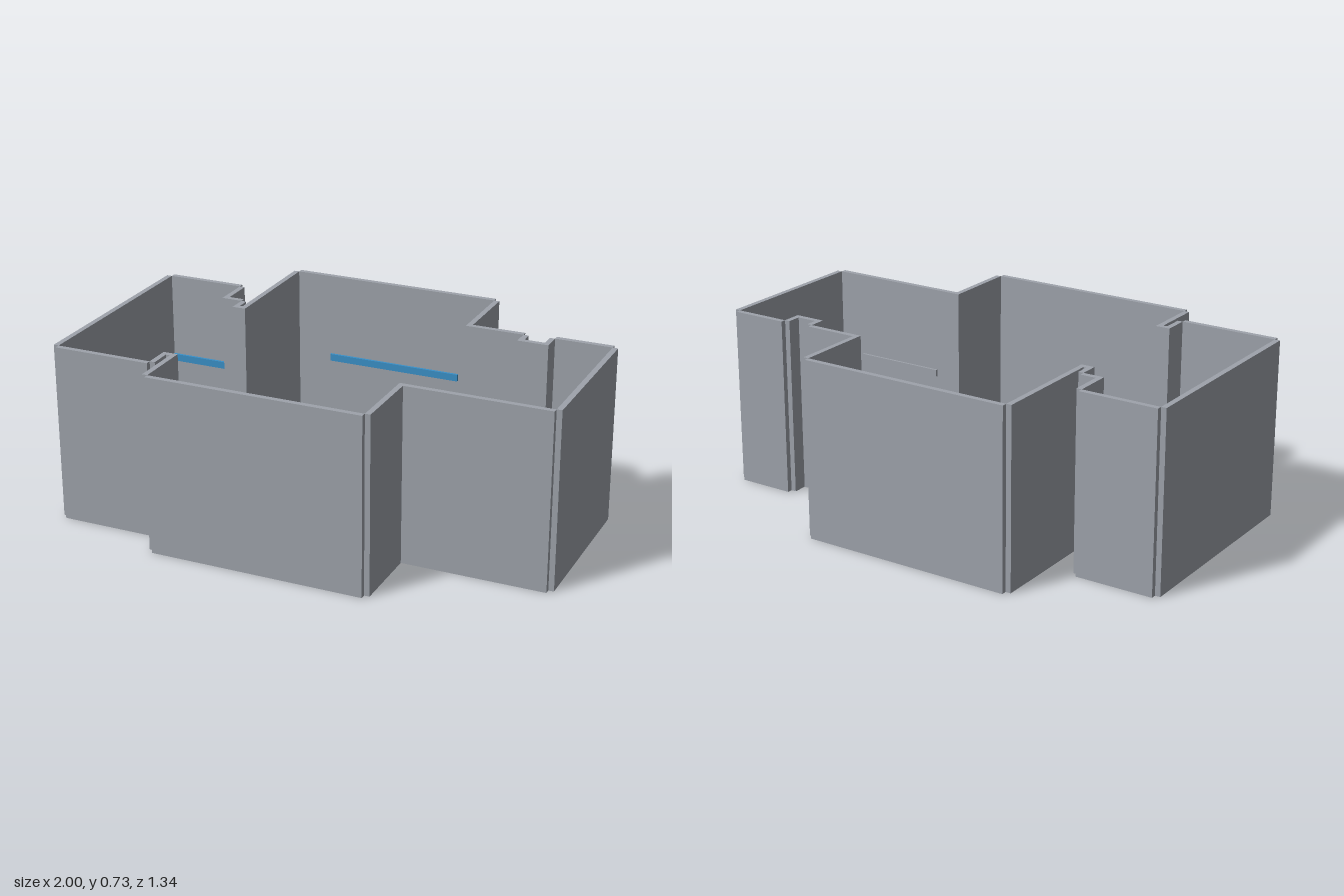
import * as THREE from 'three';

const HEIGHT = 0.73;
const THICK = 0.022;

// Inner room outline as [x, z], clockwise seen from above
const OUTLINE = [
  [-0.977, -0.376], [-0.653, -0.376], [-0.653, -0.22], [-0.566, -0.22],
  [-0.566, -0.142], [-0.51, -0.142], [-0.51, -0.651], [0.376, -0.651],
  [0.376, -0.328], [0.617, -0.328], [0.617, -0.258], [0.744, -0.258],
  [0.744, -0.338], [0.977, -0.338], [0.977, 0.33], [0.37, 0.33],
  [0.37, 0.648], [-0.514, 0.648], [-0.514, 0.414], [-0.575, 0.414],
  [-0.575, 0.522], [-0.977, 0.522],
];

export function createModel() {
  const model = new THREE.Group();
  const wallGrey = new THREE.MeshStandardMaterial({ color: 0x9ea3ab });
  wallGrey.name = 'wall grey';
  const floorGrey = new THREE.MeshStandardMaterial({ color: 0x70767d });
  floorGrey.name = 'floor grey';
  const blue = new THREE.MeshStandardMaterial({ color: 0x3a90c8 });
  blue.name = 'ledge blue';

  // Box given by its minimum and maximum corners
  const addBox = (name, material, x0, x1, y0, y1, z0, z1) => {
    const mesh = new THREE.Mesh(new THREE.BoxGeometry(x1 - x0, y1 - y0, z1 - z0), material);
    mesh.position.set((x0 + x1) / 2, (y0 + y1) / 2, (z0 + z1) / 2);
    mesh.name = name;
    model.add(mesh);
  };

  // Thin floor slab filling the outline
  const shape = new THREE.Shape(OUTLINE.map(([x, z]) => new THREE.Vector2(x, -z)));
  const slab = new THREE.ExtrudeGeometry(shape, { depth: 0.004, bevelEnabled: false });
  slab.rotateX(-Math.PI / 2);
  const floor = new THREE.Mesh(slab, floorGrey);
  floor.name = 'floor';
  model.add(floor);

  // One wall on the outer side of each edge, leaving the outer corners notched
  OUTLINE.forEach(([ax, az], i) => {
    const [bx, bz] = OUTLINE[(i + 1) % OUTLINE.length];
    const nx = Math.sign(bz - az) * THICK;
    const nz = -Math.sign(bx - ax) * THICK;
    addBox(`wall${i + 1}`, wallGrey,
      Math.min(ax, bx, ax + nx), Math.max(ax, bx, ax + nx), 0, HEIGHT,
      Math.min(az, bz, az + nz), Math.max(az, bz, az + nz));
  });

  // Narrow ledges along the inside of the walls: x0, x1, z0, z1
  const ledges = [
    ['leftLedge', blue, -0.977, -0.966, -0.376, 0.522],
    ['leftBackLedge', blue, -0.966, -0.653, -0.376, -0.365],
    ['backLedge', blue, -0.36, 0.225, -0.651, -0.64],
    ['rightBackLedge', blue, 0.77, 0.95, -0.338, -0.327],
    ['leftFrontLedge', wallGrey, -0.966, -0.845, 0.512, 0.522],
    ['rightFrontLedge', wallGrey, 0.48, 0.868, 0.321, 0.33],
  ];
  for (const [name, material, x0, x1, z0, z1] of ledges) {
    addBox(name, material, x0, x1, 0.35, 0.38, z0, z1);
  }
  return model;
}
